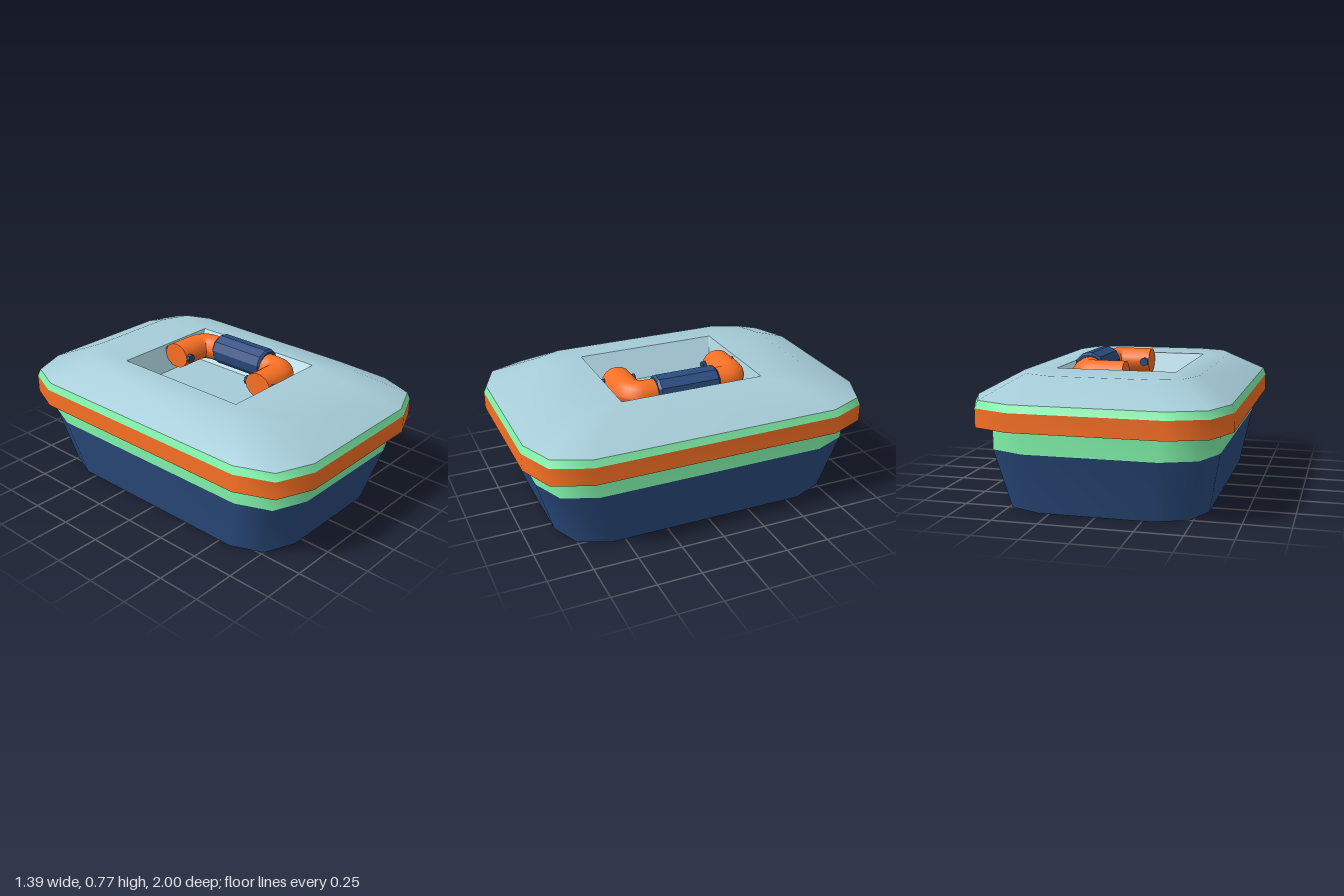
import * as THREE from 'three';

const mat = (color, flatShading = false) =>
  new THREE.MeshStandardMaterial({ color, flatShading });
const NAVY = 0x2b4c80, GREEN = 0x80f2aa, ORANGE = 0xf87024, PALE = 0xa6ccd8;

// Rectangle outline with corners of two chamfers, at height y
function ring(hx, hz, r, y) {
  const pts = [];
  for (let q = 0; q < 4; q++) {
    const sx = q === 0 || q === 3 ? 1 : -1, sz = q < 2 ? 1 : -1;
    for (let k = 0; k < 3; k++) {
      const a = (q + k / 2) * Math.PI / 2;
      pts.push([sx * (hx - r) + r * Math.cos(a), y, sz * (hz - r) + r * Math.sin(a)]);
    }
  }
  return pts;
}

// Skin over a stack of outlines, smooth within the stack
function shell(name, color, rings, flat = false) {
  const n = rings[0].length, index = [];
  for (let j = 0; j + 1 < rings.length; j++) {
    for (let i = 0; i < n; i++) {
      const a = j * n + i, a2 = j * n + (i + 1) % n;
      index.push(a, a + n, a2 + n, a, a2 + n, a2);
    }
  }
  const geo = new THREE.BufferGeometry();
  geo.setAttribute('position', new THREE.Float32BufferAttribute(rings.flat(2), 3));
  geo.setIndex(index);
  geo.computeVertexNormals();
  const mesh = new THREE.Mesh(geo, mat(color, flat));
  mesh.name = name;
  return mesh;
}

function createHandle() {
  const handle = new THREE.Group();
  handle.name = 'handle';
  const add = (name, geo, material) => {
    const mesh = new THREE.Mesh(geo, material);
    mesh.name = name;
    handle.add(mesh);
    return mesh;
  };
  const y = 0.676, squash = 0.86, armR = 0.086, end = -0.03;
  const v = (x, z) => new THREE.Vector3(x, 0, z);

  for (const s of [-1, 1]) {
    // Arm with its rounded elbow
    const path = new THREE.CurvePath();
    path.add(new THREE.LineCurve3(v(end, s * 0.315), v(0.12, s * 0.315)));
    path.add(new THREE.CubicBezierCurve3(
      v(0.12, s * 0.315), v(0.18, s * 0.315), v(0.215, s * 0.28), v(0.215, s * 0.215)));
    path.add(new THREE.LineCurve3(v(0.215, s * 0.215), v(0.215, s * 0.15)));
    const arm = new THREE.TubeGeometry(path, 28, armR, 16, false);
    // Slimmer tube where it enters the grip
    const pos = arm.attributes.position;
    for (let i = 0; i < pos.count; i++) {
      const t = THREE.MathUtils.smoothstep(0.32 - Math.abs(pos.getZ(i)), 0, 0.1);
      if (pos.getX(i) > 0.12) pos.setX(i, 0.215 + (pos.getX(i) - 0.215) * (1 - 0.14 * t));
    }
    arm.scale(1, squash, 1);
    arm.computeVertexNormals();
    add('handleArm', arm, mat(ORANGE)).position.y = y;

    // Arm end face and pivot pin
    const cap = new THREE.CircleGeometry(armR, 16);
    cap.rotateY(-Math.PI / 2).scale(1, squash, 1);
    add('armEnd', cap, mat(ORANGE)).position.set(end, y, s * 0.315);
    const pin = new THREE.CylinderGeometry(0.026, 0.026, 0.21, 8);
    pin.rotateX(Math.PI / 2);
    add('pivotPin', pin, mat(NAVY, true)).position.set(-0.004, y, s * 0.318);
  }

  // Ten-sided grip with bevelled ends
  const profile = [[0, -0.185], [0.078, -0.185], [0.09, -0.172],
    [0.09, 0.172], [0.078, 0.185], [0, 0.185]].map(p => new THREE.Vector2(...p));
  const grip = new THREE.LatheGeometry(profile, 10, Math.PI / 18);
  grip.rotateX(Math.PI / 2);
  add('grip', grip, mat(NAVY, true)).position.set(0.223, 0.684, 0);
  return handle;
}

export function createModel() {
  const model = new THREE.Group();
  model.name = 'lunchBox';

  const foot = ring(0.555, 0.825, 0.25, 0);
  const waist = ring(0.62, 0.925, 0.265, 0.335);
  const neck = ring(0.62, 0.925, 0.265, 0.46);
  const rimLow = ring(0.695, 1, 0.29, 0.46);
  const rimTop = ring(0.695, 1, 0.29, 0.56);
  const lidEdge = ring(0.68, 0.985, 0.285, 0.6);
  const lidTop = ring(0.485, 0.725, 0.21, 0.712);
  const opening = ring(0.335, 0.42, 0.003, 0.712);
  const floor = ring(0.2, 0.36, 0.003, 0.57);

  model.add(
    // Tapered tub
    shell('base', NAVY, [ring(0, 0, 0, 0), foot], true),
    shell('tub', NAVY, [foot, waist]),
    shell('tubBand', GREEN, [waist, neck]),
    // Lid rim and seal
    shell('rimUnderside', NAVY, [neck, rimLow], true),
    shell('rim', ORANGE, [rimLow, rimTop]),
    shell('seal', GREEN, [rimTop, lidEdge]),
    // Lid with the sunken handle well
    shell('lid', PALE, [lidEdge, lidTop, opening]),
    shell('handleWell', PALE, [opening, floor, ring(0, 0, 0, 0.57)], true),
    createHandle()
  );
  return model;
}
